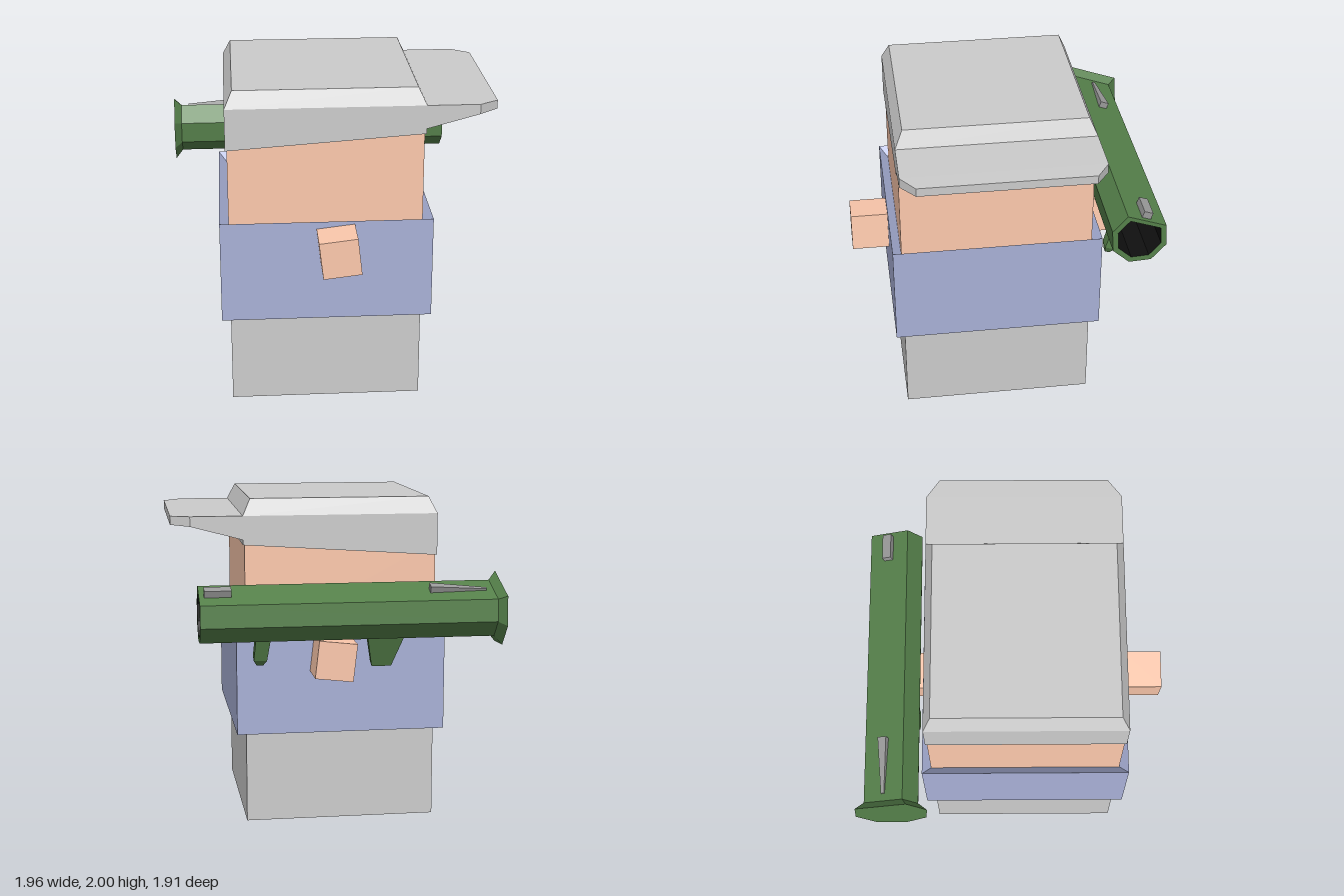
import * as THREE from 'three';

const GREY = 0xcccccc, SKIN = 0xfcc8ac, BLUE = 0xa8b0d6, GREEN = 0x55804a;
const material = (color) => new THREE.MeshStandardMaterial({ color, flatShading: true });

// Skins a list of equal-sized point loops, each counter-clockwise seen from the last one
function loft(name, color, loops, capStart = true, capEnd = true) {
  const pos = [];
  const tri = (...pts) => pts.forEach((p) => pos.push(...p));
  const n = loops[0].length;
  for (let k = 0; k < loops.length - 1; k++) {
    const a = loops[k], b = loops[k + 1];
    for (let i = 0; i < n; i++) {
      const j = (i + 1) % n;
      tri(a[i], a[j], b[j]);
      tri(a[i], b[j], b[i]);
    }
  }
  const first = loops[0], last = loops[loops.length - 1];
  for (let i = 1; i < n - 1; i++) {
    if (capStart) tri(first[0], first[i + 1], first[i]);
    if (capEnd) tri(last[0], last[i], last[i + 1]);
  }
  const geo = new THREE.BufferGeometry();
  geo.setAttribute('position', new THREE.Float32BufferAttribute(pos, 3));
  geo.computeVertexNormals();
  const mesh = new THREE.Mesh(geo, material(color));
  mesh.name = name;
  return mesh;
}

// Rectangular loop for lofts going up; yRight lets it tilt
const level = (y, x0, x1, z0, z1, yRight = y) =>
  [[x1, yRight, z1], [x1, yRight, z0], [x0, y, z0], [x0, y, z1]];

// Rectangular loop for lofts going along +x
const slice = (x, y0, y1, z0, z1) => [[x, y1, z1], [x, y0, z1], [x, y0, z0], [x, y1, z0]];

// Octagon without its top corner, leaving a wide flat for the sights
function tubeLoop(x, r) {
  return Array.from({ length: 7 }, (_, i) => {
    const t = (i + 1) * Math.PI / 4;
    return [x, r * Math.cos(t), r * Math.sin(t)];
  });
}

function box(name, color, w, h, d, x, y, z) {
  const mesh = new THREE.Mesh(new THREE.BoxGeometry(w, h, d), material(color));
  mesh.name = name;
  mesh.position.set(x, y, z);
  return mesh;
}

function createLauncher() {
  const g = new THREE.Group();
  g.name = 'launcher';

  // tube with flared rear end and a dark bore
  g.add(loft('launcherTube', GREEN, [
    tubeLoop(-0.98, 0.233), tubeLoop(-0.935, 0.176), tubeLoop(0.83, 0.176), tubeLoop(0.83, 0.14),
  ], true, false));
  g.add(loft('launcherBore', 0x101010, [tubeLoop(0.83, 0.14), tubeLoop(0.45, 0.14)], false, true));

  // sights on the flat
  g.add(box('frontSight', 0x999999, 0.16, 0.05, 0.056, 0.72, 0.142, 0));
  g.add(loft('rearSight', 0x999999, [
    slice(-0.89, 0.115, 0.135, -0.01, 0.01), slice(-0.545, 0.115, 0.165, -0.027, 0.027),
  ]));

  // grips below, narrowing to the tip
  g.add(loft('frontGrip', GREEN, [
    level(-0.35, 0.44, 0.48, -0.015, 0.015),
    level(-0.31, 0.42, 0.5, -0.032, 0.032),
    level(-0.15, 0.4, 0.49, -0.032, 0.032),
  ]));
  g.add(loft('rearGrip', GREEN, [
    level(-0.37, -0.34, -0.22, -0.03, 0.03),
    level(-0.15, -0.41, -0.18, -0.04, 0.04),
  ]));

  g.position.set(0, 1.347, -0.732);
  g.rotation.x = THREE.MathUtils.degToRad(-19);
  return g;
}

export function createModel() {
  const model = new THREE.Group();
  model.name = 'blockFigure';
  const cx = -0.05, cz = 0.082;

  // legs and head are plain blocks
  model.add(box('legs', GREY, 1.17, 0.65, 1.175, cx, 0.325, cz));
  model.add(box('head', SKIN, 1.17, 0.63, 1.175, cx, 1.415, cz));

  // shirt with rims sloping in towards the body
  const inner = [-0.635, 0.535, -0.505, 0.67], outer = [-0.69, 0.595, -0.56, 0.725];
  model.add(loft('shirt', BLUE, [
    level(0.6, ...inner), level(0.565, ...outer), level(1.2, ...outer), level(1.14, ...inner),
  ]));

  // cap: bevelled crown with a slanted lower edge, and a brim on the left side
  const cap = new THREE.Group();
  cap.name = 'cap';
  cap.add(loft('capCrown', GREY, [
    level(1.645, -0.645, 0.545, -0.515, 0.68, 1.725),
    level(1.9, -0.645, 0.545, -0.515, 0.68),
    level(2.0, -0.597, 0.497, -0.47, 0.632),
  ]));
  cap.add(loft('capBrim', GREY, [
    slice(0.54, 1.755, 1.9, -0.515, 0.68),
    slice(0.86, 1.84, 1.9, -0.515, 0.68),
    slice(0.975, 1.845, 1.897, -0.435, 0.595),
  ]));
  model.add(cap);

  // hands, slightly turned
  for (const [name, z] of [['rightHand', 0.835], ['leftHand', -0.67]]) {
    const hand = box(name, SKIN, 0.232, 0.23, 0.24, 0.018, 1.053, z);
    hand.rotation.z = THREE.MathUtils.degToRad(6.5);
    model.add(hand);
  }

  model.add(createLauncher());
  return model;
}
